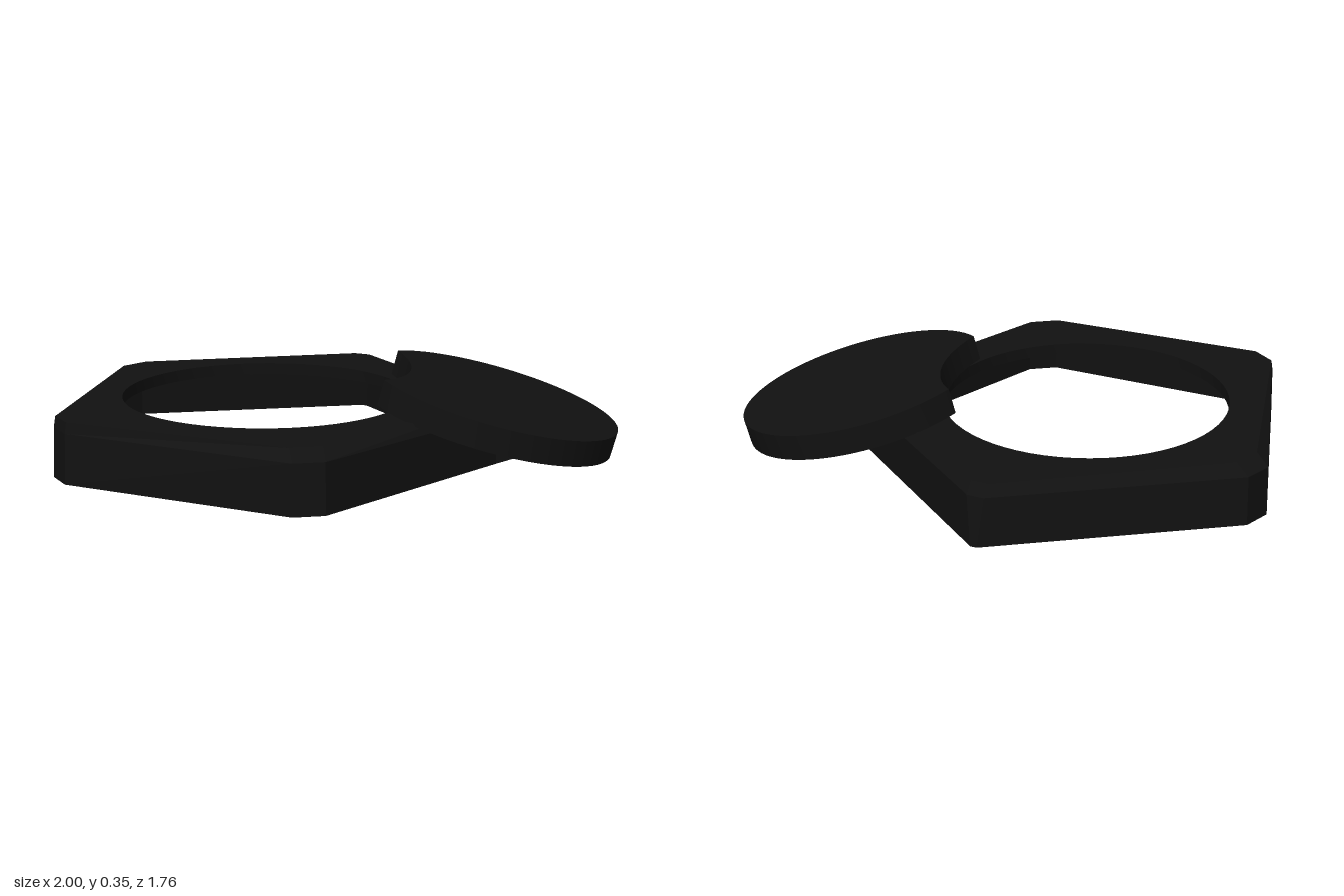
import * as THREE from 'three';
import { toCreasedNormals } from 'three/addons/utils/BufferGeometryUtils.js';
import { ConvexGeometry } from 'three/addons/geometries/ConvexGeometry.js';

const CX = -0.162, CZ = -0.062, R = 0.887; // pentagon centre and corner radius
const rad = THREE.MathUtils.degToRad;

// Pentagon outline with clipped corners, ordered from the disc corner clockwise (seen from above)
function ring(y, insets, clips) {
  const corners = insets.map((d, k) => {
    const a = rad(36 + 72 * k);
    return new THREE.Vector3(CX + (R - d) * Math.cos(a), y, CZ + (R - d) * Math.sin(a));
  });
  return corners.flatMap((p, k) => [corners[(k + 4) % 5], corners[(k + 1) % 5]].map((n) =>
    p.clone().add(n.clone().sub(p).setLength(clips[k]))));
}

// Flat-faced skin through a list of equal-length closed rings
function loft(rings) {
  const pts = [];
  for (let i = 0; i + 1 < rings.length; i++) {
    const lo = rings[i], hi = rings[i + 1], n = lo.length;
    for (let k = 0; k < n; k++) {
      const j = (k + 1) % n;
      pts.push(lo[k], hi[k], lo[j], hi[k], hi[j], lo[j]);
    }
  }
  const geo = new THREE.BufferGeometry().setFromPoints(pts);
  geo.computeVertexNormals();
  return geo;
}

export function createModel() {
  const group = new THREE.Group();
  const mat = new THREE.MeshStandardMaterial({ color: 0x111111 });
  const add = (name, geo) => {
    const mesh = new THREE.Mesh(geo, mat);
    mesh.name = name;
    group.add(mesh);
    return mesh;
  };

  // Thin outer wall, open below, with a bevel that fades out at the left corner
  const clipLow = [0.06, 0.07, 0.07, 0.07, 0.015];
  const clipHigh = [0.06, 0.07, 0.07, 0.07, 0.04];
  const topInset = [0.035, 0.06, 0.01, 0.06, 0.035];
  const topRing = ring(0.225, topInset, clipHigh);
  add('frameWall', loft([
    ring(0.18, [0.08, 0.08, 0.08, 0.08, 0.08], clipHigh),
    ring(0.165, [0.035, 0.035, 0.035, 0.035, 0.035], clipHigh),
    ring(0, [0.03, 0.03, 0.03, 0.03, 0.03], clipLow),
    ring(0, [0, 0, 0, 0, 0], clipLow),
    ring(0.185, [0.004, 0.004, 0.006, 0.004, 0.004], clipHigh),
    topRing,
  ]));

  // Top plate with the large round opening
  const plate = new THREE.Shape(topRing.map((p) => new THREE.Vector2(p.x, p.z)));
  plate.holes.push(new THREE.Path().absarc(-0.17, -0.085, 0.54, 0, Math.PI * 2));
  const plateGeo = new THREE.ExtrudeGeometry(plate, { depth: 0.045, bevelEnabled: false, curveSegments: 32 });
  plateGeo.rotateX(Math.PI / 2);
  add('topPlate', toCreasedNormals(plateGeo, rad(30))).position.y = 0.225;

  // Tilted disc with a concave bite that follows the opening
  const beta = Math.atan2(0.264, 0.395), gamma = Math.atan2(0.264, 0.425);
  const outline = new THREE.Shape();
  outline.absarc(0, 0, 0.475, beta - Math.PI, Math.PI - beta, false);
  outline.absarc(-0.82, 0, 0.5, gamma, -gamma, true);
  const discGeo = new THREE.ExtrudeGeometry(outline, { depth: 0.097, bevelEnabled: false, curveSegments: 32 });
  discGeo.rotateX(Math.PI / 2);
  const disc = add('tiltedDisc', toCreasedNormals(discGeo, rad(30)));
  disc.rotation.set(0, rad(-36), rad(-14.5), 'YZX');
  disc.position.set(0.53, 0.248, 0.405);

  // Wedge that carries the disc beyond the frame corner
  const base = [[0.556, 0.4], [0.5, 0.477], [0.45, 0.38]];
  add('discSupport', new ConvexGeometry([
    ...base.flatMap(([x, z]) => [new THREE.Vector3(x, 0, z), new THREE.Vector3(x, 0.16, z)]),
    new THREE.Vector3(0.74, 0.08, 0.6),
  ]));

  return group;
}
